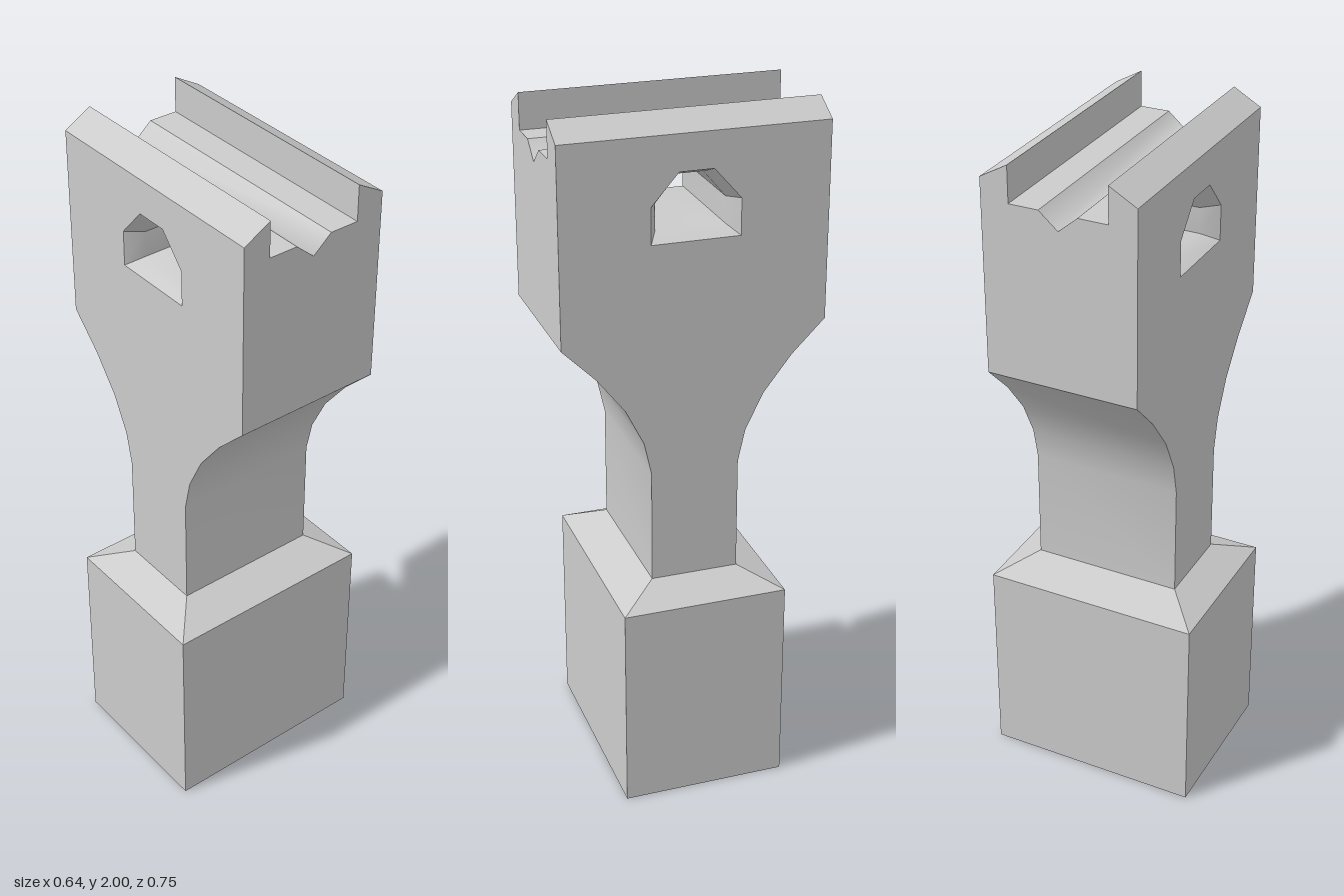
import * as THREE from 'three';
import { toCreasedNormals } from 'three/addons/utils/BufferGeometryUtils.js';

const W = 0.22;   // half width of the body (x)
const D = 0.375;  // half depth of the head (z)
const material = new THREE.MeshStandardMaterial({ color: 0xcccccc, side: THREE.DoubleSide });

// Skin over rows of [x, y, z] points; outward = along the row x towards the next row
function loft(rows, crease = 0.6) {
  const n = rows[0].length, index = [];
  for (let i = 0; i < rows.length - 1; i++) {
    for (let j = 0; j < n - 1; j++) {
      const a = i * n + j, b = a + 1, c = a + n, d = c + 1;
      index.push(a, b, c, b, d, c);
    }
  }
  const geo = new THREE.BufferGeometry();
  geo.setAttribute('position', new THREE.Float32BufferAttribute(rows.flat(2), 3));
  geo.setIndex(index);
  return toCreasedNormals(geo, crease);
}

const toShape = pts => new THREE.Shape(pts.map(([a, b]) => new THREE.Vector2(a, b)));
// Mirror a half outline (listed bottom to top) into a closed anticlockwise one
const mirrored = half => [...half, ...half.map(([a, b]) => [-a, b]).reverse()];

export function createModel() {
  const group = new THREE.Group();
  const add = (name, geo) => {
    const mesh = new THREE.Mesh(geo, material);
    mesh.name = name;
    group.add(mesh);
    return mesh;
  };
  const addPair = (name, geo) => {
    add(name + 'A', geo);
    add(name + 'B', geo).rotation.y = Math.PI;
  };

  // Hollow base, open underneath, with a sloped shoulder
  const ring = (x, y, z) => [[-x, y, z], [x, y, z], [x, y, -z], [-x, y, -z], [-x, y, z]];
  add('base', loft([ring(0.32, 0, 0.24), ring(0.32, 0.617, 0.24), ring(W, 0.668, 0.127)]));

  // Stem flaring out to the head, as [z, y]
  const flare = [[0.127, 0.668], [0.127, 1], [0.148, 1.095], [0.2, 1.2], [0.28, 1.303], [D, 1.398]];
  addPair('stemFlank', loft(flare.map(([z, y]) => [[-W, y, z], [W, y, z]])));

  // Head end faces with the notched top
  const wall = [[W, 1.955], [0.14, 2], [0.14, 1.897]];
  const lip = [0.055, 1.897];
  const endHalf = [[W, 1.398], ...wall, lip, [0, 1.85]];
  addPair('headEnd', new THREE.ShapeGeometry(toShape(mirrored(endHalf).filter((p, i) => i !== 6)))
    .translate(0, 0, D));

  // Top surfaces running front to back
  const along = pts => [D, -D].map(z => pts.map(([x, y]) => [x, y, z]));
  const rail = [lip, ...wall.slice().reverse()];
  addPair('topRail', loft(along(rail)));
  add('topGroove', loft(along([[-lip[0], lip[1]], [0, 1.85], lip]), Math.PI));

  // Chamfered window right through the head, as [z, y]
  const outer = mirrored([[0.125, 1.664], [0.125, 1.767], [0.048, 1.854]]);
  const inner = mirrored([[0.098, 1.685], [0.098, 1.76], [0.035, 1.834]]);
  const section = (pts, x) => [...pts, pts[0]].map(([z, y]) => [x, y, z]);
  add('windowLining', loft([
    section(outer, -W), section(inner, -W + 0.05),
    section(inner, W - 0.05), section(outer, W),
  ]));

  // Flat side plates with the window cut out
  const side = toShape(mirrored([...flare, [D, 1.955]]));
  side.holes.push(toShape(outer));
  addPair('sidePlate', new THREE.ShapeGeometry(side).rotateY(Math.PI / 2).translate(W, 0, 0));

  return group;
}
